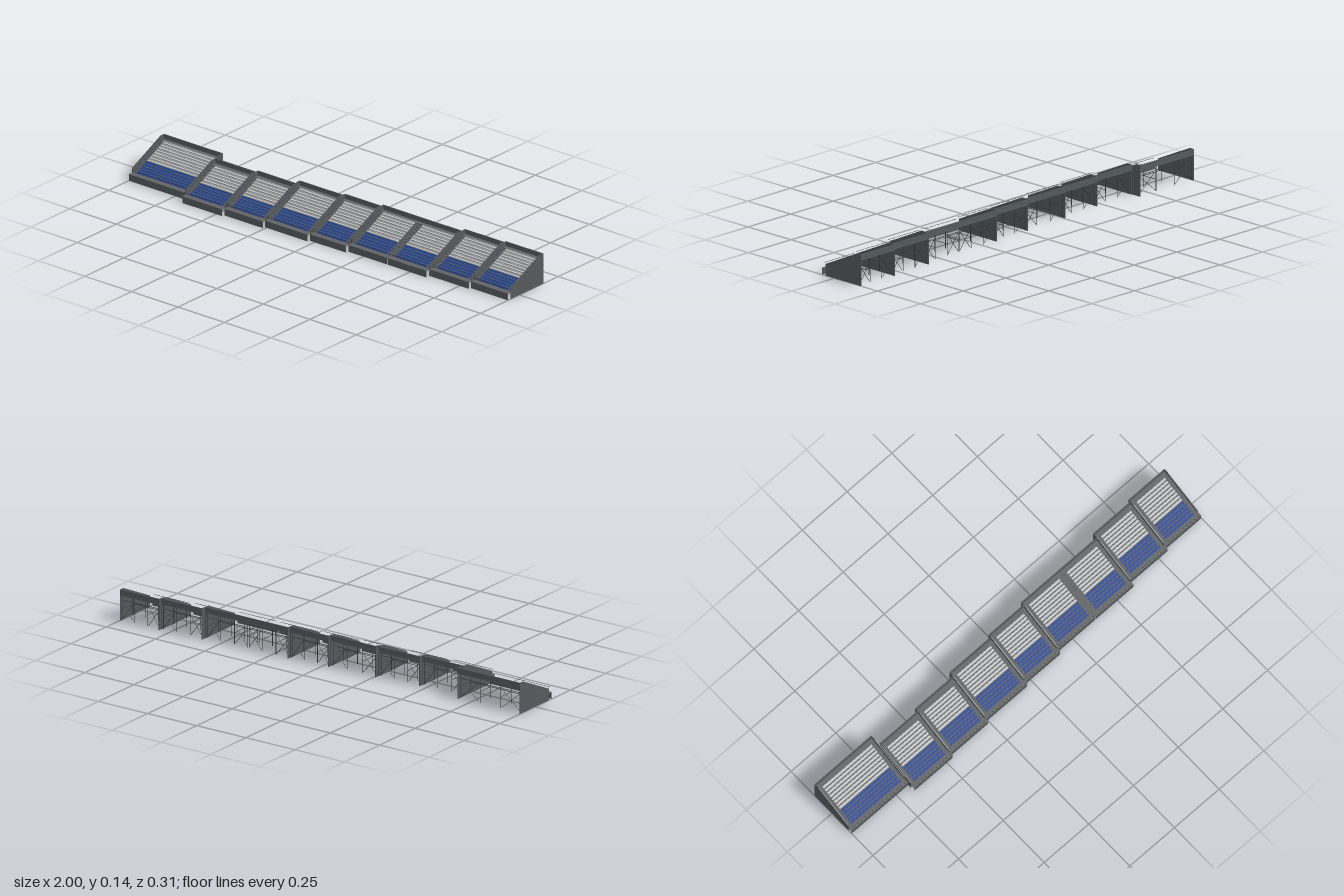
import * as THREE from 'three';
import { mergeGeometries } from 'three/addons/utils/BufferGeometryUtils.js';

const material = (name, color, side = THREE.FrontSide) => {
  const m = new THREE.MeshStandardMaterial({ color, side });
  m.name = name;
  return m;
};

// x from, x to, front of side wall, back, number of rows, wall on the right (-x) end
const SECTIONS = [
  [-1.0, -0.683, 0.1, -0.107, 13, true],
  [-0.683, -0.467, 0.136, -0.06, 12, true],
  [-0.467, -0.258, 0.124, -0.074, 12, true],
  [-0.258, -0.027, 0.112, -0.094, 13, true],
  [-0.027, 0.168, 0.1, -0.107, 13, true],
  [0.168, 0.38, 0.086, -0.121, 13, true],
  [0.38, 0.59, 0.086, -0.121, 13, false],
  [0.59, 0.8, 0.065, -0.143, 13, true],
  [0.8, 1.0, 0.053, -0.154, 13, true],
];
const STEP = 0.0141, RISE = 0.0066, FLOOR = 0.03, AISLE = 0.021, BLUE_ROWS = 5;

// box given by its limits
function box(x0, x1, y0, y1, z0, z1) {
  return new THREE.BoxGeometry(x1 - x0, y1 - y0, z1 - z0)
    .translate((x0 + x1) / 2, (y0 + y1) / 2, (z0 + z1) / 2);
}

// (z, y) profile swept along x
function sweep(points, x0, x1) {
  const shape = new THREE.Shape(points.map(([z, y]) => new THREE.Vector2(z, y)));
  return new THREE.ExtrudeGeometry(shape, { depth: x1 - x0, bevelEnabled: false })
    .rotateY(-Math.PI / 2).translate(x1, 0, 0);
}

// thin steel tube between two points
function rod(a, b, r = 0.0012) {
  const p = new THREE.Vector3(...a), q = new THREE.Vector3(...b);
  const d = q.clone().sub(p);
  const g = new THREE.CylinderGeometry(r, r, d.length(), 6);
  g.applyQuaternion(new THREE.Quaternion().setFromUnitVectors(new THREE.Vector3(0, 1, 0), d.normalize()));
  return g.translate((a[0] + b[0]) / 2, (a[1] + b[1]) / 2, (a[2] + b[2]) / 2);
}

export function createModel() {
  const model = new THREE.Group();
  model.name = 'grandstand';
  const concrete = material('concrete grey', 0x606264);
  const wallGrey = material('wall grey', 0x54595c);
  const steel = material('dark steel', 0x34373a);
  const blue = material('seat blue', 0x2c4c9c);
  const pale = material('seat pale grey', 0xc6c7c8);

  SECTIONS.forEach(([x0, x1, front, back, rows, hasWall], index) => {
    const section = new THREE.Group();
    section.name = `section${index + 1}`;
    model.add(section);
    const add = (name, parts, mat) => {
      const mesh = new THREE.Mesh(mergeGeometries(parts), mat);
      mesh.name = name;
      section.add(mesh);
    };
    const top = 0.05 + rows * RISE;       // top of wall and parapet
    const deck = FLOOR + rows * RISE;     // highest tread
    const crest = front - rows * STEP;    // where the slope ends

    // stepped terrace, a thin folded slab
    const upper = [[front, FLOOR]], lower = [[front, FLOOR - 0.002]];
    for (let i = 0; i < rows; i++) {
      const z = front - i * STEP, y = FLOOR + i * RISE;
      if (i) {
        upper.push([z, y]);
        lower.push([z - 0.002, y - 0.002]);
      }
      upper.push([z - STEP, y]);
      lower.push([z - STEP - 0.002, y - 0.002]);
    }
    upper.push([crest, deck], [back, deck]);
    lower.push([crest - 0.002, deck - 0.002], [back, deck - 0.002]);
    add('terrace', [sweep([...upper, ...lower.reverse()], x0, x1)], concrete);

    // front walkway and fascia
    add('walkway', [box(x0, x1, FLOOR - 0.0015, FLOOR, front - 0.001, front + 0.02)], concrete);
    add('frontFascia', [box(x0 + 0.002, x1 - 0.002, 0, FLOOR - 0.0015, front + 0.0185, front + 0.02)], wallGrey);
    add('frontRail', [rod([x0 + 0.01, 0.05, front + 0.019], [x1 - 0.01, 0.05, front + 0.019], 0.0008)], steel);

    // side walls
    const profile = [[front, 0], [front, 0.05], [crest, top], [back, top], [back, 0]];
    const walls = [];
    if (hasWall) walls.push(sweep(profile, x0, x0 + 0.003));
    if (index !== 5) walls.push(sweep(profile, x1 - 0.003, x1));
    add('sideWalls', walls, wallGrey);

    // back parapet
    add('backParapet', [box(x0, x1, deck - 0.006, top, back, back + 0.004)], wallGrey);

    // half steps in both aisles
    const steps = [];
    for (let i = 1; i <= rows; i++) {
      const z = front - i * STEP, y = FLOOR + (i - 1) * RISE;
      for (const x of [x0 + 0.004, x1 - AISLE]) {
        steps.push(box(x, x + AISLE - 0.004, y, y + RISE / 2, z, z + STEP / 2));
      }
    }
    add('aisleSteps', steps, concrete);

    // benches with low backs
    const bench = (from, to) => {
      const parts = [];
      for (let i = from; i < to; i++) {
        const z = front - i * STEP, y = FLOOR + i * RISE;
        parts.push(box(x0 + AISLE, x1 - AISLE, y + 0.0015, y + 0.0042, z - 0.0125, z - 0.0035));
        parts.push(box(x0 + AISLE, x1 - AISLE, y + 0.0042, y + 0.0085, z - 0.0125, z - 0.0105));
      }
      return parts;
    };
    add('lowerSeats', bench(0, BLUE_ROWS), blue);
    add('upperSeats', bench(BLUE_ROWS, rows), pale);

    // posts, beams and cross bracing below the terrace
    const frame = [];
    const zBack = back + 0.012, zMid = (crest + front) / 2 - 0.03;
    const yMid = FLOOR + Math.floor((front - zMid) / STEP) * RISE - 0.004;
    const bays = 3, w = (x1 - x0) / bays;
    for (let i = 0; i <= bays; i++) {
      const x = THREE.MathUtils.clamp(x0 + i * w, x0 + 0.005, x1 - 0.005);
      frame.push(rod([x, 0, zBack], [x, deck - 0.001, zBack]));
      frame.push(rod([x, 0, zMid], [x, yMid, zMid]));
      frame.push(rod([x, 0.05, zBack], [x, 0.05, zMid]));
      if (i === 0 || i === 2) {
        const xa = x0 + i * w + 0.005, xb = x0 + (i + 1) * w - 0.005;
        frame.push(rod([xa, 0.005, zBack], [xb, 0.085, zBack], 0.001));
        frame.push(rod([xa, 0.085, zBack], [xb, 0.005, zBack], 0.001));
      }
    }
    frame.push(rod([x0 + 0.004, 0.088, zBack], [x1 - 0.004, 0.088, zBack]));
    frame.push(rod([x0 + 0.004, 0.05, zMid], [x1 - 0.004, 0.05, zMid]));
    add('supportFrame', frame, steel);
  });
  return model;
}
